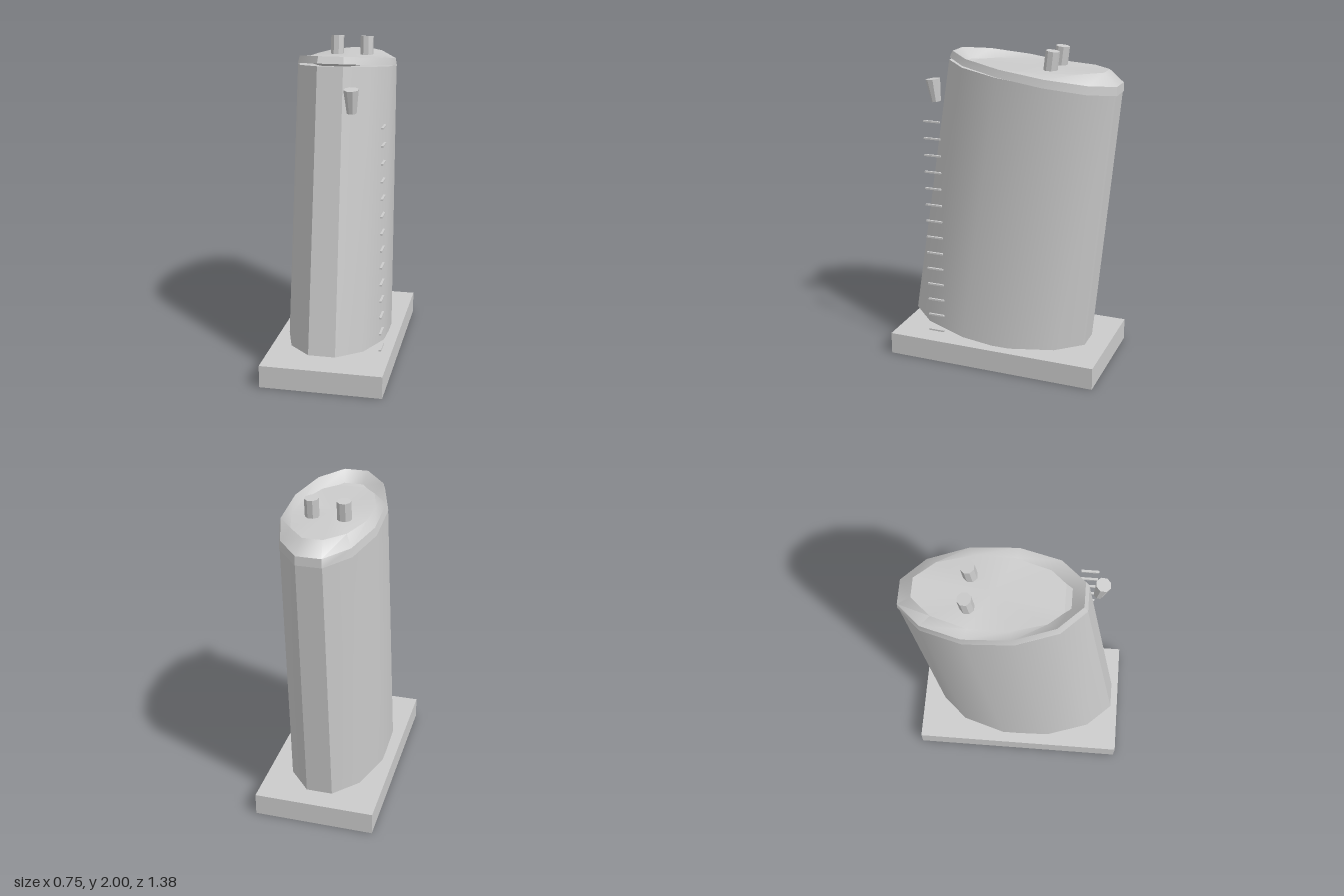
import * as THREE from 'three';
import { toCreasedNormals } from 'three/addons/utils/BufferGeometryUtils.js';

const SIDES = 12;
const material = new THREE.MeshStandardMaterial({ color: 0xcccccc });
const openMaterial = new THREE.MeshStandardMaterial({ color: 0xcccccc, side: THREE.DoubleSide });

// Tilted twelve-sided oval, given its front and back edge heights and half width
function ring(zFront, yFront, zBack, yBack, halfWidth) {
  const zc = (zFront + zBack) / 2;
  const k = Math.cos(Math.PI / SIDES);
  const points = [];
  for (let i = 0; i < SIDES; i++) {
    const a = ((i + 0.5) / SIDES) * Math.PI * 2;
    const z = zc + (((zFront - zBack) / 2) * Math.cos(a)) / k;
    const t = (z - zBack) / (zFront - zBack);
    points.push(new THREE.Vector3((halfWidth * Math.sin(a)) / k, yBack + (yFront - yBack) * t, z));
  }
  return points;
}

// Skin a stack of rings, bottom to top, with optional end faces
function loft(rings, closeBottom, closeTop) {
  const pos = [];
  const tri = (...pts) => pts.forEach((p) => pos.push(p.x, p.y, p.z));
  const middle = (r) => r.reduce((s, p) => s.add(p), new THREE.Vector3()).divideScalar(SIDES);
  const first = rings[0], last = rings[rings.length - 1];
  for (let i = 0; i < SIDES; i++) {
    const j = (i + 1) % SIDES;
    for (let r = 0; r + 1 < rings.length; r++) {
      const lo = rings[r], up = rings[r + 1];
      tri(lo[i], lo[j], up[j]);
      tri(lo[i], up[j], up[i]);
    }
    if (closeBottom) tri(middle(first), first[j], first[i]);
    if (closeTop) tri(middle(last), last[i], last[j]);
  }
  const geometry = new THREE.BufferGeometry();
  geometry.setAttribute('position', new THREE.Float32BufferAttribute(pos, 3));
  return toCreasedNormals(geometry, 0.65);
}

// Eight-sided pipe with a flat side to the front, leaning along z
function pipe(rTop, rBottom, height, lean) {
  const geometry = new THREE.CylinderGeometry(rTop, rBottom, height, 8);
  geometry.rotateY(Math.PI / 8);
  geometry.rotateX(lean);
  return toCreasedNormals(geometry, 0.5);
}

export function createModel() {
  const model = new THREE.Group();
  model.name = 'funnel';
  const add = (name, geometry, x = 0, y = 0, z = 0, mat = material) => {
    const mesh = new THREE.Mesh(geometry, mat);
    mesh.name = name;
    mesh.position.set(x, y, z);
    model.add(mesh);
    return mesh;
  };

  // Base slab
  add('base', new THREE.BoxGeometry(0.75, 0.14, 1.36), 0, 0.07, 0.01);

  // Raked casing
  add('casing', loft([
    ring(0.64, 0.215, -0.525, 0.075, 0.306),
    ring(0.375, 1.9, -0.68, 1.775, 0.285),
  ], true, true));

  // Cap: slanted band around a level plate
  add('cap', loft([
    ring(0.372, 1.915, -0.685, 1.757, 0.287),
    ring(0.352, 1.955, -0.682, 1.81, 0.277),
    ring(0.28, 1.885, -0.6, 1.885, 0.22),
  ], false, true), 0, 0, 0, openMaterial);

  // Exhaust pipes
  for (const side of [-1, 1]) {
    add(side > 0 ? 'leftExhaust' : 'rightExhaust', pipe(0.042, 0.042, 0.17, -0.11), side * 0.095, 1.914, -0.287);
  }

  // Horn standing off the front
  add('horn', pipe(0.045, 0.029, 0.14, 0.14), 0.14, 1.718, 0.449);

  // Ladder rungs on the left side
  const rungs = new THREE.Group();
  rungs.name = 'ladder';
  for (let i = 0; i < 14; i++) {
    const rung = add('rung', new THREE.BoxGeometry(0.014, 0.01, 0.105), 0.318, 0.19 + i * 0.1058, 0.388);
    rungs.add(rung);
  }
  model.add(rungs);

  return model;
}
